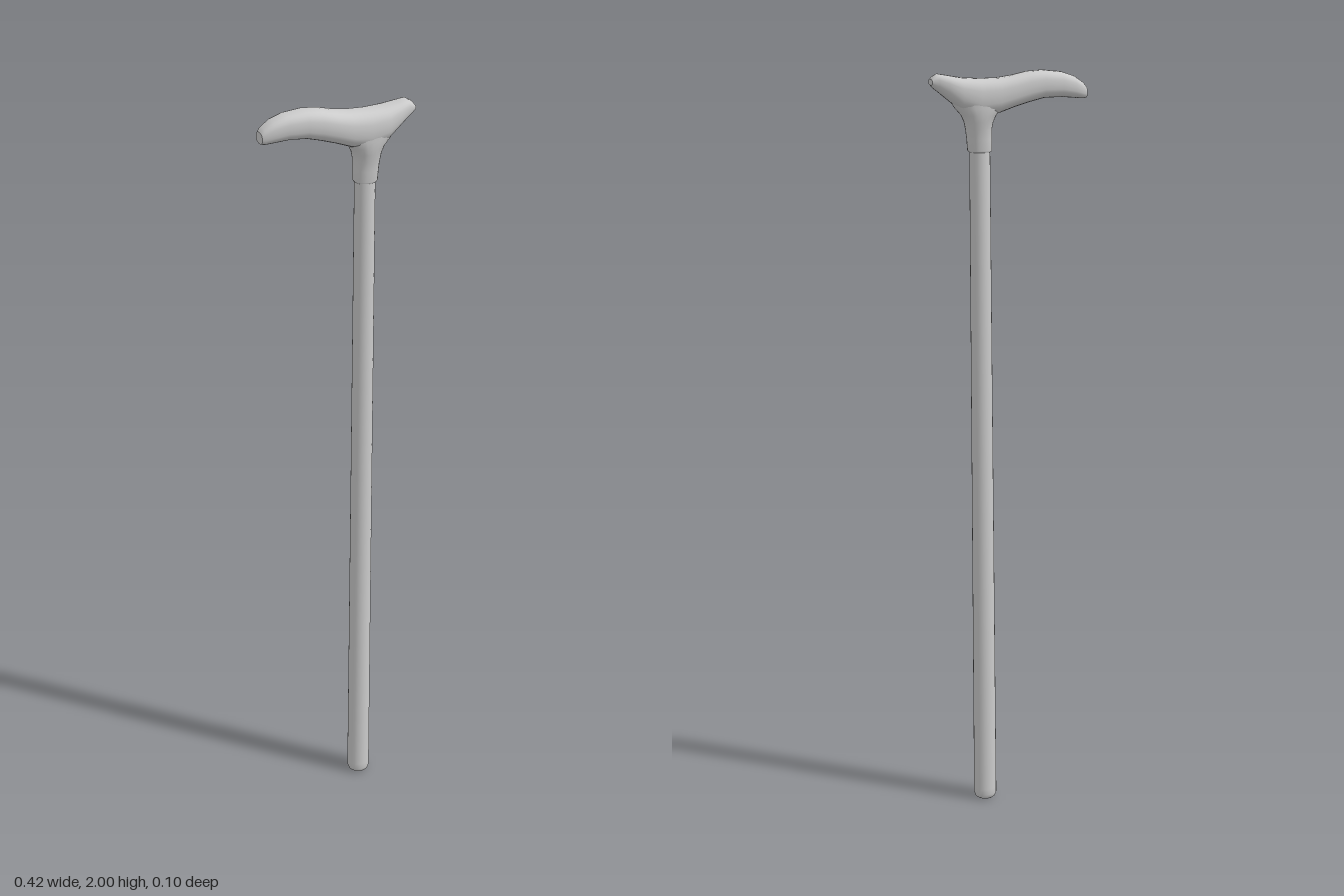
import * as THREE from 'three';

const SIDES = 24;

// Skin through rings; each ring is { c, u, v } (centre and two half-axes, u x v along the loft).
// power 2 gives ellipses, higher values give squarer sections. Both ends are capped.
function loft(rings, power) {
  const pos = [], index = [];
  const curve = (t) => Math.sign(t) * Math.abs(t) ** (2 / power);
  const addRing = ({ c, u, v }) => {
    const start = pos.length / 3;
    for (let j = 0; j < SIDES; j++) {
      const a = (j / SIDES) * Math.PI * 2;
      const p = c.clone().addScaledVector(u, curve(Math.cos(a))).addScaledVector(v, curve(Math.sin(a)));
      pos.push(p.x, p.y, p.z);
    }
    return start;
  };
  const starts = rings.map(addRing);
  for (let i = 0; i < rings.length - 1; i++) {
    for (let j = 0; j < SIDES; j++) {
      const k = (j + 1) % SIDES, a = starts[i], b = starts[i + 1];
      index.push(a + j, a + k, b + k, a + j, b + k, b + j);
    }
  }
  const first = addRing(rings[0]), last = addRing(rings[rings.length - 1]);
  for (let j = 1; j < SIDES - 1; j++) {
    index.push(first, first + j + 1, first + j, last, last + j, last + j + 1);
  }
  const geo = new THREE.BufferGeometry();
  geo.setAttribute('position', new THREE.Float32BufferAttribute(pos, 3));
  geo.setIndex(index);
  geo.computeVertexNormals();
  return geo;
}

const vec = (x, y, z) => new THREE.Vector3(x, y, z);
// Upright ring: height, centre x, half-width in x, half-width in z
const upright = ([y, x, rx, rz]) => ({ c: vec(x, y, 0), u: vec(0, 0, rz), v: vec(rx, 0, 0) });
// Handle ring: x, top y, bottom y, half-width in z
const across = ([x, top, bottom, w]) => ({
  c: vec(x, (top + bottom) / 2, 0), u: vec(0, (top - bottom) / 2, 0), v: vec(0, 0, w),
});

export function createModel() {
  const group = new THREE.Group();
  const material = new THREE.MeshStandardMaterial({ color: 0xcccccc });
  const add = (name, geometry) => {
    const mesh = new THREE.Mesh(geometry, material);
    mesh.name = name;
    group.add(mesh);
  };

  // Slightly tapered, leaning shaft with a rounded foot
  add('shaft', loft([
    [0, 0.068, 0.022, 0.022],
    [0.004, 0.068, 0.027, 0.027],
    [0.014, 0.068, 0.031, 0.031],
    [0.03, 0.068, 0.031, 0.031],
    [1.82, 0.078, 0.027, 0.028],
  ].map(upright), 2));

  // Socket flaring up from the shaft into the handle
  add('socket', loft([
    [1.792, 0.078, 0.029, 0.029],
    [1.796, 0.078, 0.032, 0.032],
    [1.825, 0.079, 0.033, 0.034],
    [1.85, 0.081, 0.034, 0.038],
    [1.87, 0.081, 0.038, 0.042],
    [1.887, 0.081, 0.046, 0.045],
    [1.905, 0.082, 0.062, 0.046],
    [1.93, 0.085, 0.075, 0.046],
  ].map(upright), 2.2));

  // Curved handle: long grip to one side, short upturned tip to the other
  add('handle', loft([
    [-0.208, 1.955, 1.926, 0.021],
    [-0.2, 1.966, 1.924, 0.025],
    [-0.175, 1.983, 1.926, 0.032],
    [-0.14, 1.995, 1.929, 0.036],
    [-0.09, 2.0, 1.927, 0.041],
    [-0.05, 1.997, 1.917, 0.044],
    [-0.01, 1.988, 1.905, 0.046],
    [0.03, 1.982, 1.891, 0.048],
    [0.08, 1.981, 1.883, 0.048],
    [0.13, 1.984, 1.9, 0.047],
    [0.165, 1.99, 1.928, 0.036],
    [0.19, 1.994, 1.948, 0.028],
    [0.202, 1.988, 1.957, 0.024],
    [0.208, 1.98, 1.965, 0.022],
  ].map(across), 2.6));

  return group;
}
